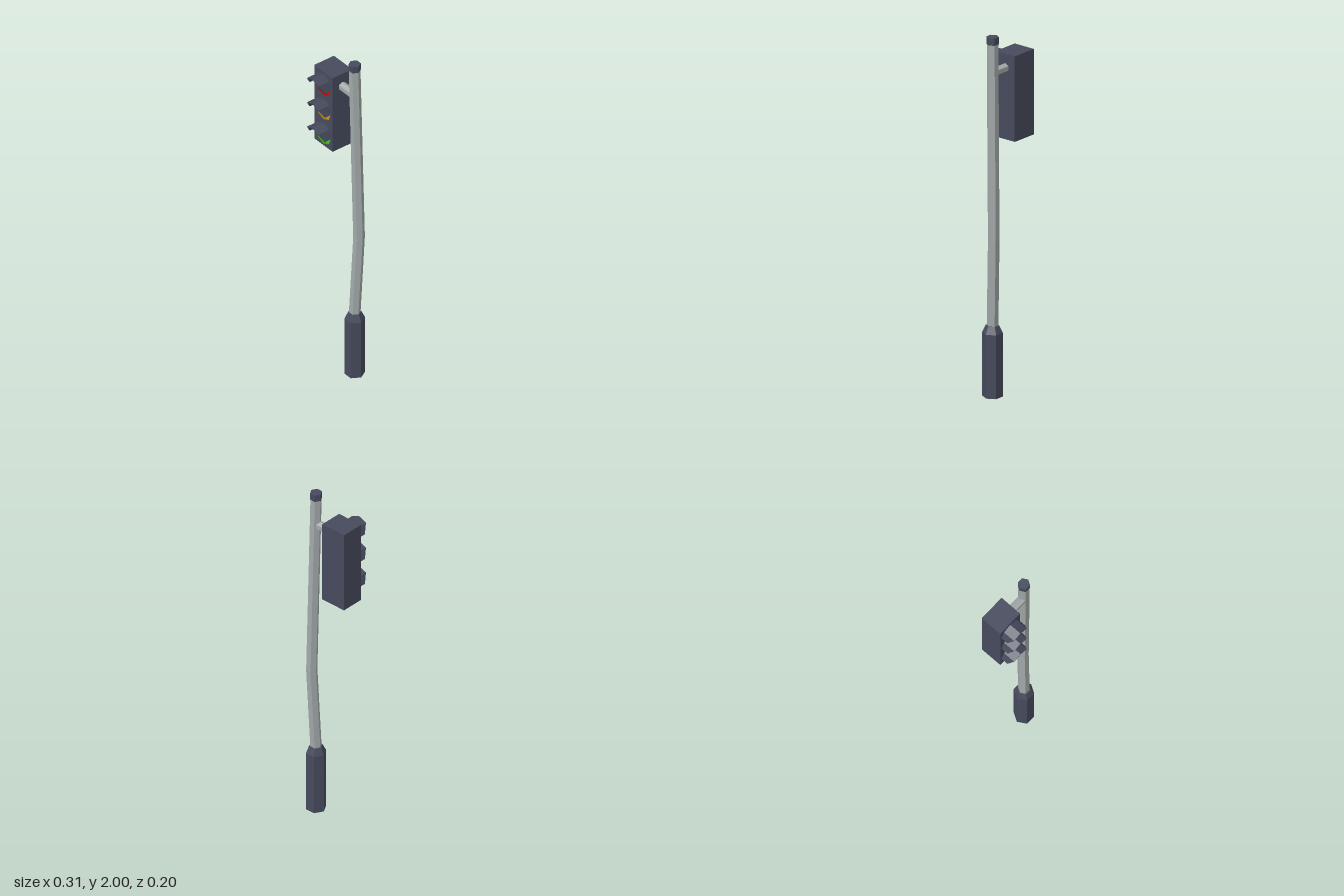
import * as THREE from 'three';

const mat = (name, color) => {
  const m = new THREE.MeshStandardMaterial({ color, flatShading: true });
  m.name = name;
  return m;
};

export function createModel() {
  const model = new THREE.Group();
  model.name = 'trafficLight';
  const dark = mat('darkSlate', 0x464a5c);
  const steel = mat('steelGrey', 0xa2a9a8);
  const lampColours = [
    ['red', 0xdc0c0c, 1.79],
    ['amber', 0xdca411, 1.633],
    ['green', 0x4cd60f, 1.475],
  ];

  const add = (name, geometry, material, x, y, z, parent = model) => {
    const mesh = new THREE.Mesh(geometry, material);
    mesh.name = name;
    mesh.position.set(x, y, z);
    parent.add(mesh);
    return mesh;
  };
  // Six-sided prism with corners on the x axis
  const hex = (rTop, rBottom, h, segments = 1, open = false) =>
    new THREE.CylinderGeometry(rTop, rBottom, h, 6, segments, open, Math.PI / 2);

  const px = 0.1, pz = -0.038;

  // Base sleeve with a tapered collar
  add('base', hex(0.055, 0.055, 0.355), dark, px, 0.1775, pz);
  add('baseCollar', hex(0.036, 0.055, 0.04), dark, px, 0.375, pz);

  // Pole, bent where its middle ring is pushed sideways
  const bottom = 0.38, top = 1.96, bend = 0.88;
  const poleGeo = hex(0.031, 0.031, top - bottom, 2);
  const pos = poleGeo.attributes.position;
  for (let i = 0; i < pos.count; i++) {
    if (Math.abs(pos.getY(i)) < 0.01) {
      pos.setXYZ(i, pos.getX(i) + 0.013, bend - (top + bottom) / 2, pos.getZ(i) - 0.019);
    }
  }
  add('pole', poleGeo, steel, px, (top + bottom) / 2, pz);
  add('poleCap', hex(0.033, 0.033, 0.04), dark, px, 1.98, pz);

  // Arm joining the pole and the signal box
  add('arm', hex(0.025, 0.025, 0.12).rotateZ(Math.PI / 2), steel, 0.045, 1.8, -0.037);

  // Signal box
  add('signalBox', new THREE.BoxGeometry(0.154, 0.476, 0.131), dark, -0.08, 1.639, -0.0375);

  // Visor: half an octagonal shell, shorter at its two ends
  const points = [], index = [], steps = 4;
  for (let i = 0; i <= steps; i++) {
    const a = (i / steps) * Math.PI;
    const front = i === 0 || i === steps ? 0.042 : 0.072;
    for (const [r, z] of [[0.068, 0], [0.068, front], [0.062, front], [0.062, 0]]) {
      points.push(r * Math.cos(a), r * Math.sin(a), z);
    }
    if (i === steps) continue;
    for (let k = 0; k < 4; k++) {
      const p = i * 4 + k, q = i * 4 + ((k + 1) % 4);
      index.push(p, p + 4, q + 4, p, q + 4, q);
    }
  }
  const e = steps * 4;
  index.push(0, 1, 2, 0, 2, 3, e, e + 2, e + 1, e, e + 3, e + 2);
  const visorGeo = new THREE.BufferGeometry();
  visorGeo.setAttribute('position', new THREE.Float32BufferAttribute(points, 3));
  visorGeo.setIndex(index);
  visorGeo.computeVertexNormals();

  // Three faceted lamps, each under its visor
  const lampGeo = new THREE.ConeGeometry(0.063, 0.026, 8, 1, true).rotateX(Math.PI / 2);
  for (const [name, colour, y] of lampColours) {
    const unit = new THREE.Group();
    unit.name = name + 'Signal';
    unit.position.set(-0.08, y, 0.028);
    model.add(unit);
    add(name + 'Lamp', lampGeo, mat(name, colour), 0, 0, 0.0135, unit);
    add(name + 'Visor', visorGeo, dark, 0, 0.003, 0, unit);
  }
  return model;
}
